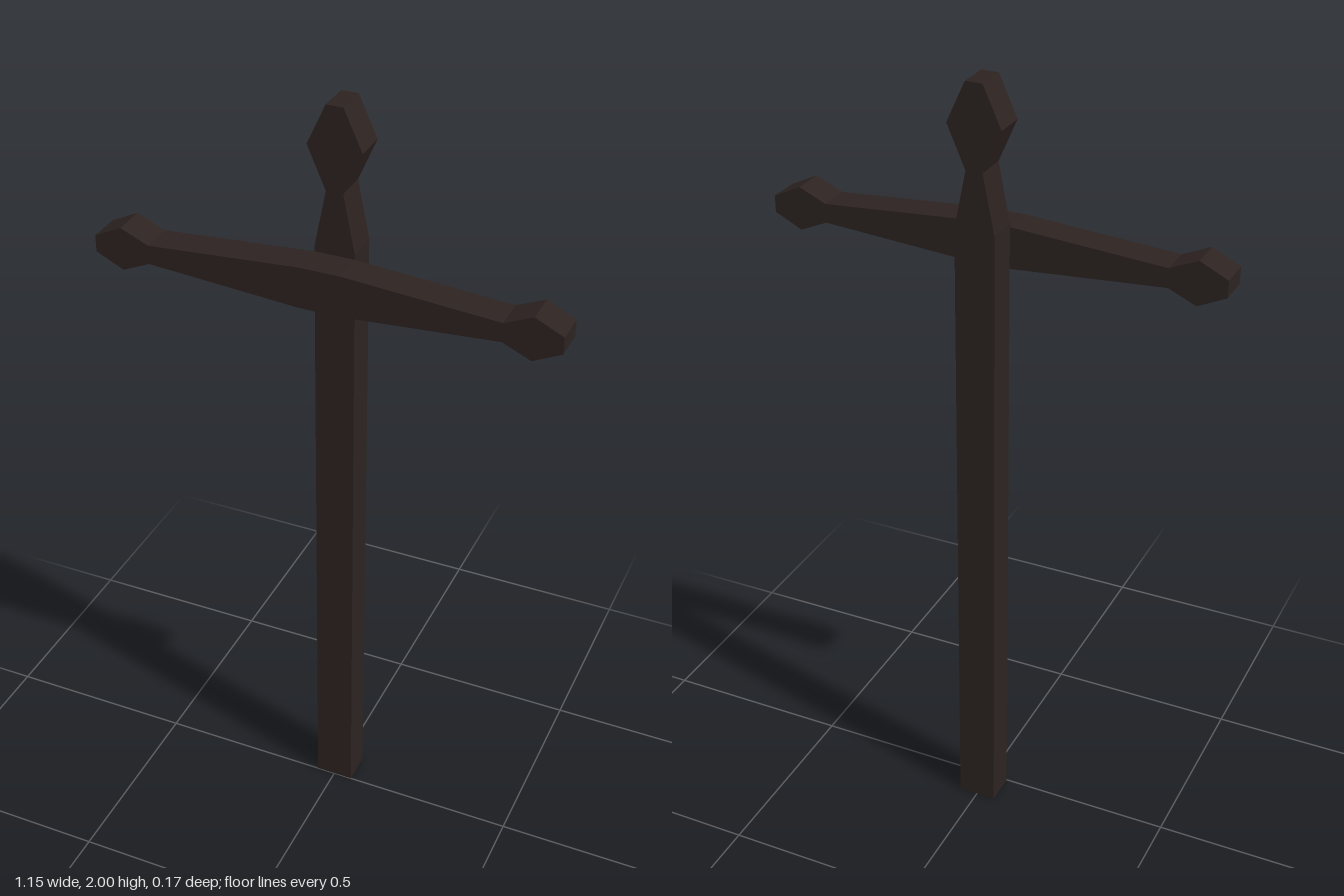
import * as THREE from 'three';

// Half-outline points [distance along the beam, half width], mirrored into a flat beam
function beam(name, profile, depth, material) {
  const outline = [
    ...profile.map(([along, half]) => new THREE.Vector2(half, along)),
    ...profile.slice().reverse().map(([along, half]) => new THREE.Vector2(-half, along)),
  ];
  const geometry = new THREE.ExtrudeGeometry(new THREE.Shape(outline), { depth, bevelEnabled: false });
  const mesh = new THREE.Mesh(geometry, material);
  mesh.name = name;
  return mesh;
}

export function createModel() {
  const group = new THREE.Group();
  group.name = 'woodenCross';
  const darkWood = new THREE.MeshStandardMaterial({ color: 0x2d2321, flatShading: true });
  darkWood.name = 'darkWood';
  const thickness = 0.084;

  // Upright with a tapered neck and a pointed finial
  const post = beam('post', [[0, 0.05], [1.65, 0.05], [1.795, 0.021], [1.9, 0.067], [2, 0.021]], thickness, darkWood);
  post.position.z = -thickness - 0.001;

  // Crossbar in front of the post, one arm mirrored to the other side
  const arm = [[0.05, 0.052], [0.435, 0.024], [0.505, 0.055], [0.575, 0.021]];
  const mirrored = arm.map(([along, half]) => [-along, half]).reverse();
  const crossbar = beam('crossbar', [...mirrored, ...arm], thickness, darkWood);
  crossbar.rotation.z = Math.PI / 2;
  crossbar.position.set(0, 1.587, 0.001);

  group.add(post, crossbar);
  return group;
}
